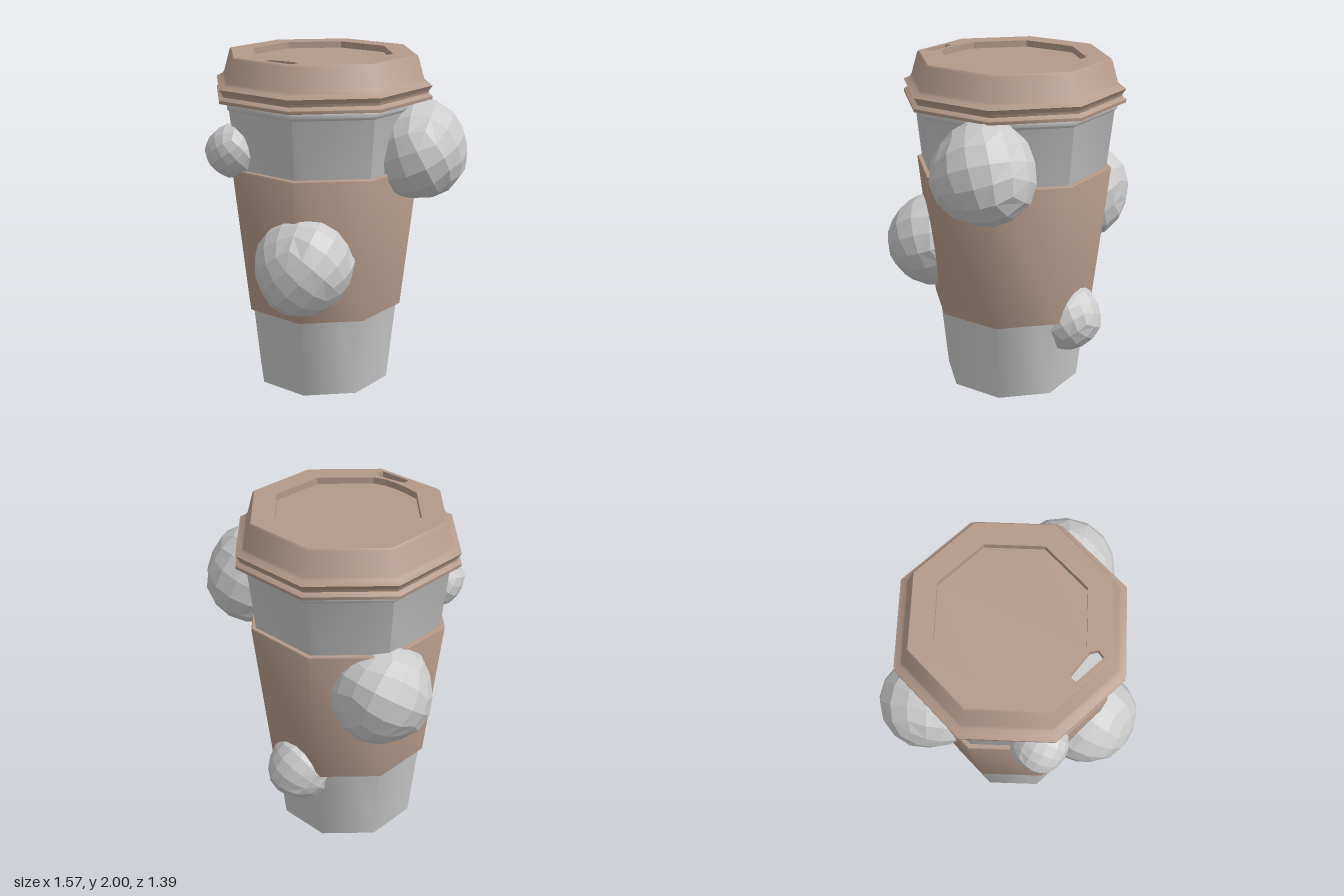
import * as THREE from 'three';
import { toCreasedNormals } from 'three/addons/utils/BufferGeometryUtils.js';

const TURN = 0.2; // twist of the octagon about y
const grey = new THREE.MeshStandardMaterial({ color: 0xcccccc });
const brown = new THREE.MeshStandardMaterial({ color: 0xb49a8a });
const stone = new THREE.MeshStandardMaterial({ color: 0xcccccc, flatShading: true });

function add(parent, name, geometry, material) {
  const mesh = new THREE.Mesh(geometry, material);
  mesh.name = name;
  parent.add(mesh);
  return mesh;
}

// Eight-sided turned part from [radius, height] pairs
function octagonal(profile) {
  const points = profile.map(([r, y]) => new THREE.Vector2(r, y));
  return toCreasedNormals(new THREE.LatheGeometry(points, 8, TURN, Math.PI * 2), 0.82);
}

// Plan outlines use (x, -z) so they lie flat after rotateX(-90deg)
const outline = (points) => points.map(([x, z]) => new THREE.Vector2(x, -z));
const corners = (r) => Array.from({ length: 8 }, (_, i) => {
  const a = TURN + i * Math.PI / 4;
  return [r * Math.sin(a), r * Math.cos(a)];
});

function flat(geometry, y) {
  return geometry.rotateX(-Math.PI / 2).translate(0, y, 0);
}

// Faceted pebble: a divided cube pulled most of the way to a sphere, slightly uneven
function pebble(radius, seed) {
  const geo = new THREE.BoxGeometry(2, 2, 2, 4, 4, 4);
  const pos = geo.attributes.position;
  const p = new THREE.Vector3();
  for (let i = 0; i < pos.count; i++) {
    p.fromBufferAttribute(pos, i);
    const bump = 0.03 * Math.sin(p.x * 2.3 + seed) + 0.03 * Math.sin(p.y * 2.7 + p.z * 1.9 + seed * 2);
    p.set(Math.tan(p.x * 0.785), Math.tan(p.y * 0.785), Math.tan(p.z * 0.785));
    p.normalize().multiplyScalar(radius * (1 + bump));
    pos.setXYZ(i, p.x, p.y, p.z);
  }
  return geo;
}

export function createModel() {
  const model = new THREE.Group();
  model.name = 'cupWithPebbles';
  const cup = new THREE.Group();
  cup.name = 'cup';
  cup.position.set(-0.085, 0, -0.053);
  model.add(cup);

  // Cup wall with hollow foot and rolled rim
  add(cup, 'cupBody', octagonal([
    [0, 0.18], [0.415, 0.18], [0.4, 0], [0.41, 0], [0.592, 1.7],
    [0.607, 1.715], [0.61, 1.74], [0.6, 1.76], [0.56, 1.77],
  ]), grey);

  // Sleeve around the middle
  add(cup, 'sleeve', octagonal([
    [0.46, 0.49], [0.486, 0.49], [0.584, 1.355], [0.58, 1.362], [0.555, 1.362],
  ]), brown);

  // Lid skirt with two ridges
  add(cup, 'lidSide', octagonal([
    [0.58, 1.75], [0.655, 1.75], [0.657, 1.768], [0.632, 1.785], [0.635, 1.8],
    [0.655, 1.828], [0.62, 1.845], [0.607, 1.86], [0.57, 1.988], [0.56, 2],
  ]), brown);

  // Lid top with sunken centre and drinking slot
  const rim = corners(0.423);
  const recess = outline([...rim, [-0.15, 0.388], [-0.06, 0.413], [0.01, 0.424]]);
  const slot = outline([
    [-0.105, 0.445], [-0.08, 0.44], [0.065, 0.445], [0.1, 0.475], [0.085, 0.52], [-0.105, 0.482],
  ]);
  const top = new THREE.Shape(outline(corners(0.56)));
  top.holes.push(new THREE.Path(recess), new THREE.Path(slot));
  add(cup, 'lidTop', flat(new THREE.ExtrudeGeometry(top, { depth: 0.04, bevelEnabled: false }), 1.96), brown);
  add(cup, 'lidCentre', flat(new THREE.ShapeGeometry(new THREE.Shape(recess)), 1.962), brown);
  add(cup, 'slotFloor', flat(new THREE.ShapeGeometry(new THREE.Shape(slot)), 1.965), grey);

  // Pebbles stuck to the cup: name, centre, radius, rotation
  [
    ['pebbleLeft', [0.49, 1.455, -0.13], 0.295, [0.3, 0.2, 0.35]],
    ['pebbleRight', [-0.5, 1.1, -0.345], 0.29, [0.5, 0.7, 0.2]],
    ['pebbleFront', [0.045, 0.85, 0.41], 0.29, [0.35, 0.1, 0.75]],
    ['pebbleUpperFront', [-0.43, 1.465, 0.38], 0.16, [0.4, 0.3, 0.5]],
    ['pebbleBack', [-0.02, 0.45, -0.45], 0.2, [0.6, 0.2, 0.4]],
  ].forEach(([name, at, radius, turn], i) => {
    const mesh = add(model, name, pebble(radius, i * 1.7), stone);
    mesh.position.set(...at);
    mesh.rotation.set(...turn);
  });
  return model;
}
